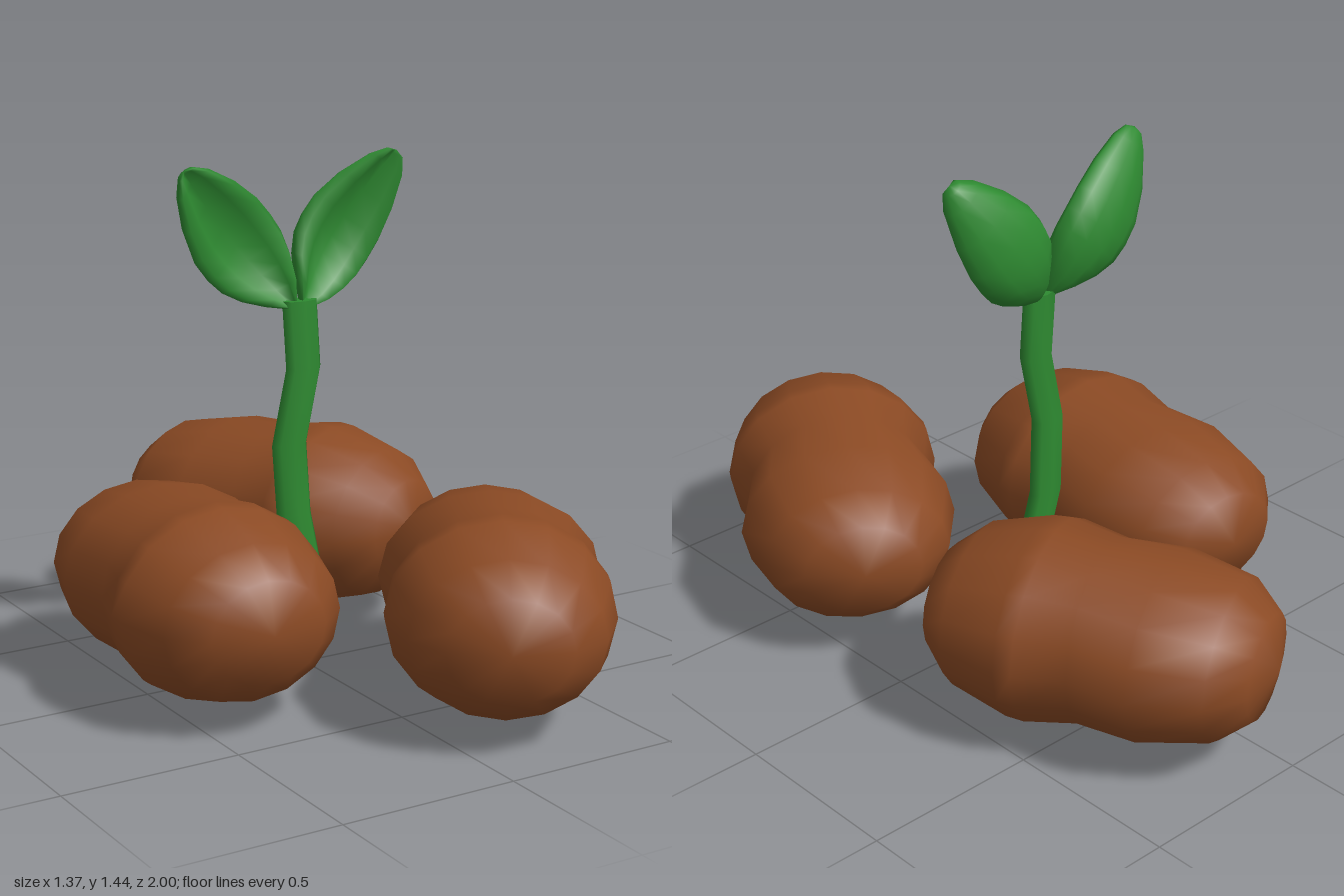
import * as THREE from 'three';

const V = (x, y, z) => new THREE.Vector3(x, y, z);
const UP = V(0, 1, 0);
const FRONT = V(0, 0, 1);

// Skin a list of equal-sized rings (counter-clockwise around the travel direction),
// closing each end with a fan to a tip point. flatEnds keeps the cap edges sharp.
function loft(rings, startTip, endTip, flatEnds = false) {
  const n = rings[0].length;
  const points = rings.flat();
  const index = [];
  for (let i = 0; i < rings.length - 1; i++) {
    for (let j = 0; j < n; j++) {
      const a = i * n + j, b = i * n + (j + 1) % n;
      index.push(a, b, a + n, b, b + n, a + n);
    }
  }
  const cap = (ring, tip, atEnd) => {
    let base = ring * n;
    if (flatEnds) {
      base = points.length;
      points.push(...rings[ring].map((p) => p.clone()));
    }
    const c = points.push(tip) - 1;
    for (let j = 0; j < n; j++) {
      const a = base + j, b = base + (j + 1) % n;
      if (atEnd) index.push(a, b, c);
      else index.push(a, c, b);
    }
  };
  cap(0, startTip, false);
  cap(rings.length - 1, endTip, true);
  const g = new THREE.BufferGeometry().setFromPoints(points);
  g.setIndex(index);
  g.computeVertexNormals();
  return g;
}

// One ring: shape(cos, sin) gives the offset from the centre
function ring(n, shape) {
  return Array.from({ length: n }, (_, j) => {
    const t = (j / n) * Math.PI * 2;
    return shape(Math.cos(t), Math.sin(t));
  });
}

// Two-lobed pod lying on its side, pointing along (dx, dz)
function podGeometry(x, z, dx, dz) {
  // distance along the axis, half width, half height
  const profile = [
    [-0.45, 0.165, 0.135], [-0.36, 0.257, 0.205], [-0.17, 0.306, 0.242], [0, 0.27, 0.248],
    [0.14, 0.304, 0.27], [0.19, 0.304, 0.265], [0.36, 0.257, 0.215], [0.45, 0.165, 0.14],
  ];
  const axis = V(dx, 0, dz).normalize();
  const side = UP.clone().cross(axis);
  const at = (s) => V(x, 0.3, z).addScaledVector(axis, s);
  const rings = profile.map(([s, w, h]) =>
    ring(16, (c, sn) => at(s).addScaledVector(side, c * w).addScaledVector(UP, sn * h)));
  return loft(rings, at(-0.485), at(0.485));
}

// Flattened, crooked stalk
function stemGeometry() {
  const path = [
    [0, 0, -0.022], [0.02, 0.21, -0.01], [-0.012, 0.43, -0.038],
    [-0.04, 0.64, -0.015], [0.01, 0.85, -0.022], [0, 1.04, -0.026],
  ].map((p) => V(...p));
  const rings = path.map((p) =>
    ring(8, (c, s) => V(p.x + c * 0.055, p.y, p.z - s * 0.031)));
  return loft(rings, path[0].clone(), path[path.length - 1].clone(), true);
}

// Thick cupped leaf with a groove down its front, leaning by angle from vertical
function leafGeometry(x, y, angle, length) {
  // distance along the leaf, half width, rim z, thickness
  const profile = [
    [0, 0.018, -0.02, 0.025], [0.05, 0.06, -0.03, 0.06], [0.105, 0.098, -0.047, 0.068],
    [0.16, 0.121, -0.06, 0.07], [0.215, 0.128, -0.065, 0.067], [0.28, 0.126, -0.063, 0.065],
    [0.37, 0.102, -0.048, 0.06], [0.46, 0.06, -0.028, 0.045], [0.5, 0.027, -0.02, 0.028],
  ];
  const axis = V(Math.sin(angle), Math.cos(angle), 0);
  const side = FRONT.clone().cross(axis);
  const at = (s, z) => V(x, y, z).addScaledVector(axis, s * length / 0.51);
  const rings = profile.map(([s, w, rim, depth]) =>
    ring(12, (c, sn) => {
      const dz = sn > 0
        ? depth * (0.5 * Math.abs(2 * sn * c) - 0.3 * sn * sn)
        : depth * sn;
      return at(s, rim + dz).addScaledVector(side, c * w);
    }));
  return loft(rings, at(-0.008, -0.02), at(0.51, -0.022));
}

export function createModel() {
  const brown = new THREE.MeshStandardMaterial({ color: 0x8b4a24 });
  brown.name = 'podBrown';
  const green = new THREE.MeshStandardMaterial({ color: 0x2e8a31 });
  green.name = 'plantGreen';

  const model = new THREE.Group();
  model.name = 'sproutWithPods';
  const add = (name, geometry, material) => {
    const mesh = new THREE.Mesh(geometry, material);
    mesh.name = name;
    model.add(mesh);
  };

  // Pods around the stem
  add('rightPod', podGeometry(-0.37, 0.025, -0.05, 1), brown);
  add('backPod', podGeometry(0.233, -0.525, 0.41, 0.91), brown);
  add('frontPod', podGeometry(0.278, 0.525, -0.51, 0.86), brown);

  // Sprout
  add('stem', stemGeometry(), green);
  add('rightLeaf', leafGeometry(-0.028, 1.03, -0.7, 0.51), green);
  add('leftLeaf', leafGeometry(0.014, 1.027, 0.635, 0.5), green);
  return model;
}
